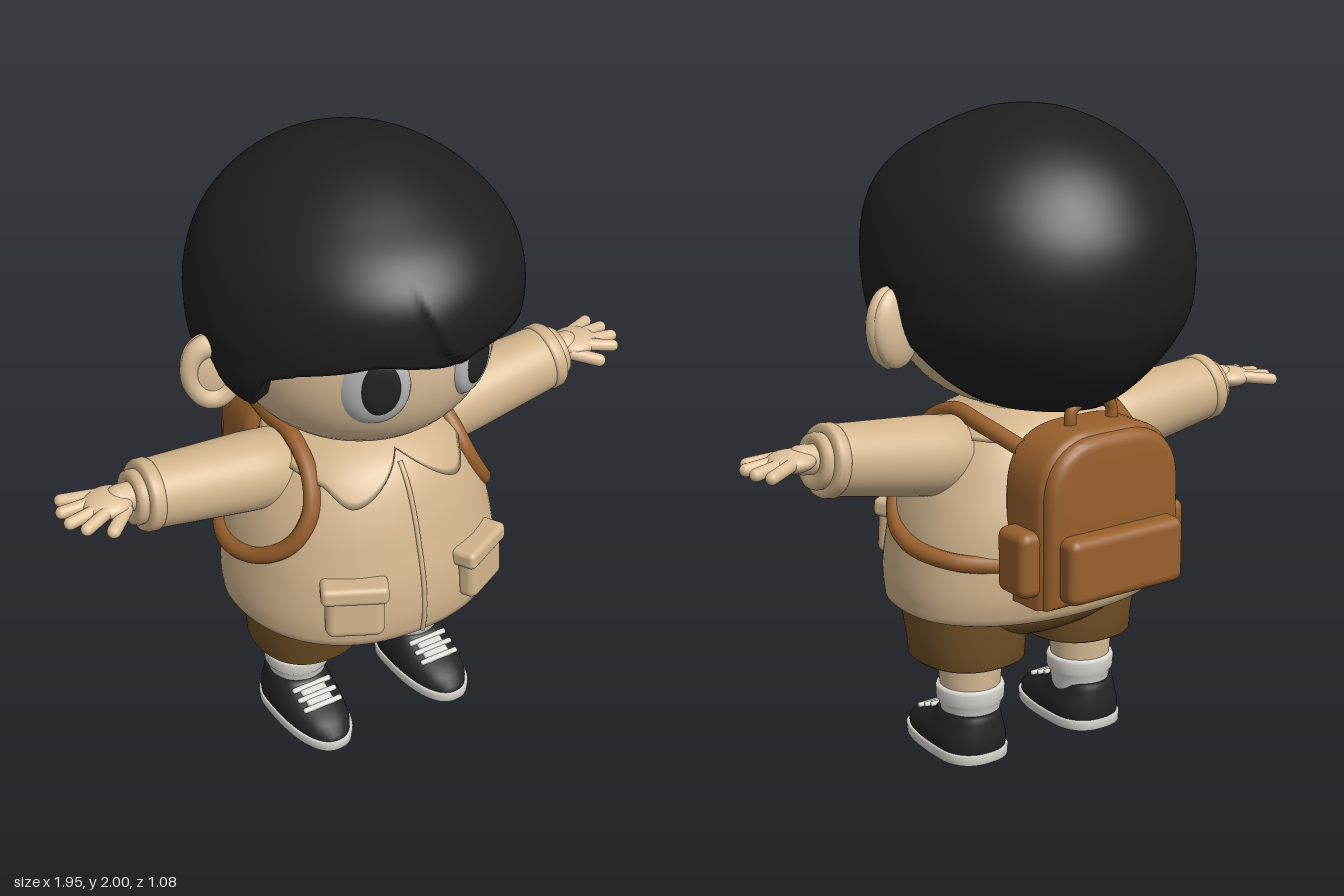
import * as THREE from 'three';
import { toCreasedNormals } from 'three/addons/utils/BufferGeometryUtils.js';
import { RoundedBoxGeometry } from 'three/addons/geometries/RoundedBoxGeometry.js';

const mat = (name, color, extra = {}) => {
  const m = new THREE.MeshStandardMaterial({ color, ...extra });
  m.name = name;
  return m;
};
const RAD = Math.PI / 180;
const V = (x, y, z) => new THREE.Vector3(x, y, z);

// Smooth interpolation in a table of [key, value, value, ...]
function lookup(T, k) {
  let i = 0;
  while (i < T.length - 2 && k > T[i + 1][0]) i++;
  const a = T[i], b = T[i + 1], h = b[0] - a[0];
  const t = Math.min(1, Math.max(0, (k - a[0]) / h));
  const slope = (j, c) => {
    const p = T[Math.max(j - 1, 0)], q = T[Math.min(j + 1, T.length - 1)];
    return (q[c] - p[c]) / (q[0] - p[0]) * h;
  };
  return a.slice(1).map((v, n) => {
    const c = n + 1, d = b[c] - v, m0 = slope(i, c), m1 = slope(i + 1, c);
    return v + t * m0 + t * t * (3 * d - 2 * m0 - m1) + t * t * t * (m0 + m1 - 2 * d);
  });
}

// Point on a ring with separate front and back depths
function ringPoint(a, y, [rx, zf, zb], n = 2) {
  const p = c => Math.sign(c) * Math.abs(c) ** (2 / n);
  const s = Math.sin(a), c = Math.cos(a);
  return [rx * p(s), y, (c > 0 ? zf : zb) * p(c)];
}

// Closed-around surface from rings going upwards; fn(angle, row) gives a point
function rings(rows, seg, fn) {
  const pos = [], idx = [];
  for (let j = 0; j < rows; j++) {
    for (let i = 0; i < seg; i++) pos.push(...fn(-Math.PI + (i / seg) * 2 * Math.PI, j));
  }
  for (let j = 0; j < rows - 1; j++) {
    for (let i = 0; i < seg; i++) {
      const k = (i + 1) % seg, a = j * seg + i, b = j * seg + k;
      idx.push(a, b, b + seg, a, b + seg, a + seg);
    }
  }
  const g = new THREE.BufferGeometry();
  g.setAttribute('position', new THREE.Float32BufferAttribute(pos, 3));
  g.setIndex(idx);
  g.computeVertexNormals();
  return g;
}
const loft = (T, n = 2, seg = 48) => rings(T.length, seg, (a, j) => ringPoint(a, T[j][0], T[j].slice(1), n));
const turned = T => loft(T.map(([y, r]) => [y, r, r, r]));

// Jacket [y, half width, front, back]
const BODY = [[.5, .435, .41, .3], [.58, .44, .42, .32], [.7, .425, .41, .32], [.8, .405, .385, .31], [.9, .37, .355, .28],
  [1, .31, .31, .25], [1.06, .25, .26, .21], [1.1, .17, .19, .16], [1.13, .1, .1, .1]];
// Hair [sqrt(2 - y), half width, front, back]
const HAIR = [[0, 0, 0, 0], [.1, .1, .11, .11], [.2, .19, .21, .21], [.3, .28, .32, .31], [.4, .365, .44, .4], [.5, .435, .515, .47],
  [.6, .475, .53, .52], [.7, .49, .5, .53], [.8, .46, .46, .5], [.9, .3, .38, .38], [1, .05, .2, .1]];
// Hairline height by angle from the front: fringe, then sides and back
const FRINGE = [[-50, 1.52], [-35, 1.55], [-24, 1.57], [-12, 1.55], [3, 1.525], [7, 1.548], [14, 1.552], [25, 1.54], [50, 1.51]];
const SIDES = [[50, 1.515], [57, 1.49], [62, 1.46], [68, 1.36], [76, 1.335], [82, 1.36], [86, 1.44], [90, 1.44],
  [94, 1.36], [100, 1.22], [115, 1.16], [140, 1.145], [180, 1.14]];
const COLLAR = [[0, 1.085], [27, .97], [48, 1.02], [90, 1.04], [180, 1.04]];
const PARTING = [[1.5, .055], [1.53, .04], [1.62, -.04], [1.76, -.09], [1.85, -.1]];

const HEAD = { y: 1.48, z: .02, rx: .41, ry: .38, rz: .42, n: 2.3 };
const headScale = y => Math.max(0, 1 - Math.abs((y - HEAD.y) / HEAD.ry) ** HEAD.n) ** (1 / HEAD.n);
const headZ = (x, y) => HEAD.z + HEAD.rz * Math.sqrt(Math.max(0, headScale(y) ** 2 - (x / HEAD.rx) ** 2));

function hairGeometry() {
  const N = 56;
  return rings(N + 3, 240, (a, j) => {
    const deg = a / RAD;
    const h = lookup(Math.abs(deg) < 50 ? FRINGE : SIDES, Math.abs(deg) < 50 ? deg : Math.abs(deg))[0];
    const v = 1 - Math.max(0, j - 2) / N;
    const y = 2 - (2 - h) * v * v;
    const p = ringPoint(a, y, lookup(HAIR, Math.sqrt(2 - y)));
    if (j < 2) return [p[0] * (.5 + .35 * j), y + .03 - .025 * j, p[2] * (.5 + .35 * j)]; // inward lip
    if (p[2] > 0 && y < 1.85) { // overlapping lock beside the parting
      const d = p[0] - lookup(PARTING, y)[0];
      const bump = .022 * THREE.MathUtils.smoothstep(d, -.012, .012) * Math.exp(-Math.max(d, 0) / .14);
      p[2] += bump * THREE.MathUtils.smoothstep(1.85 - y, 0, .2);
    }
    return p;
  });
}

// Oval plate that follows the face
function eyePlate(cx, cy, rx, ry, lift) {
  const g = new THREE.RingGeometry(.001, 1, 48, 12), p = g.attributes.position;
  for (let i = 0; i < p.count; i++) {
    const u = p.getX(i), v = p.getY(i), x = cx + u * rx, y = cy + v * ry;
    p.setXYZ(i, x, y, headZ(x, y) + lift * (1 - Math.hypot(u, v) ** 8) - .002);
  }
  g.computeVertexNormals();
  return g;
}

function archGeometry(w, y0, y1, r, depth, bevel) {
  const s = new THREE.Shape();
  s.moveTo(-w, y0);
  s.lineTo(w, y0);
  s.lineTo(w, y1 - r);
  s.quadraticCurveTo(w, y1, w - r, y1);
  s.lineTo(r - w, y1);
  s.quadraticCurveTo(-w, y1, -w, y1 - r);
  return toCreasedNormals(new THREE.ExtrudeGeometry(s, { depth, bevelSize: bevel, bevelThickness: bevel, bevelSegments: 5, curveSegments: 12 }), .7);
}

export function createModel() {
  const root = new THREE.Group();
  const skin = mat('skin', 0xdcbf99), jacket = mat('jacket tan', 0xd2b48c), collarMat = jacket;
  const hair = mat('hair black', 0x1f1f1f), brown = mat('shorts brown', 0x705026), leather = mat('backpack leather', 0x99602c);
  const white = mat('sock white', 0xd6d5cf), rim = mat('eye grey', 0xb8b8b8), black = mat('shoe black', 0x242424);
  const add = (name, geo, m, parent = root, x = 0, y = 0, z = 0) => {
    const mesh = new THREE.Mesh(geo, m);
    mesh.name = name;
    mesh.position.set(x, y, z);
    parent.add(mesh);
    return mesh;
  };
  const tube = (name, pts, r, m, seg = 40) => add(name, new THREE.TubeGeometry(new THREE.CatmullRomCurve3(pts), seg, r, 10), m);
  const capsule = (name, p, q, r, m) => {
    const d = q.clone().sub(p);
    const c = add(name, new THREE.CapsuleGeometry(r, d.length(), 6, 14), m);
    c.position.copy(p).add(q).multiplyScalar(.5);
    c.quaternion.setFromUnitVectors(V(0, 1, 0), d.normalize());
  };
  const ball = (name, m, x, y, z, rx, ry, rz) => {
    const b = add(name, new THREE.SphereGeometry(1, 32, 20), m, root, x, y, z);
    b.scale.set(rx, ry, rz);
    return b;
  };

  // Head and hair
  const headRows = [];
  for (let i = 0; i <= 32; i++) {
    const y = HEAD.y - HEAD.ry * Math.cos(i / 32 * Math.PI), k = headScale(y);
    headRows.push([y, HEAD.rx * k, HEAD.rz * k, HEAD.rz * k]);
  }
  add('head', loft(headRows), skin, root, 0, 0, HEAD.z);
  add('hair', hairGeometry(), hair);

  // Jacket with turned-in hem, front seam and collar
  const bodyRows = [[.54, .34, .3, .2], [.505, .39, .36, .25], [.498, .42, .395, .285]];
  for (let i = 0; i <= 30; i++) {
    const y = .505 + .625 * i / 30;
    bodyRows.push([y, ...lookup(BODY, y)]);
  }
  add('jacket', loft(bodyRows, 2.2, 72), jacket);
  const seam = [];
  for (let y = .505; y < 1.09; y += .05) seam.push(V(0, y, lookup(BODY, y)[1]));
  tube('frontSeam', seam, .008, jacket);
  add('collar', rings(9, 144, (a, j) => {
    const low = lookup(COLLAR, Math.abs(a) / RAD)[0];
    const y = low + (1.115 - low) * Math.max(0, j - 1) / 7;
    return ringPoint(a, y, lookup(BODY, y).map(r => r + (j ? .02 : -.01)), 2.2);
  }), collarMat);

  // Seat of the shorts
  ball('shortsSeat', brown, 0, .49, .04, .37, .12, .27);

  for (const s of [1, -1]) {
    // Face
    add('eyeRim', eyePlate(s * .162, 1.445, .09, .13, .02), rim);
    add('eye', eyePlate(s * .162, 1.455, .06, .105, .027), black);
    const ear = new THREE.Group();
    ear.name = 'ear';
    ear.position.set(s * .475, 1.39, 0);
    ear.rotation.set(0, s * .25, s * -.12);
    root.add(ear);
    add('earBase', new THREE.SphereGeometry(1, 28, 18), skin, ear, 0, 0, -.012).scale.set(.088, .12, .04);
    add('earRim', new THREE.TorusGeometry(.066, .026, 12, 36), skin, ear, 0, 0, .008).scale.set(1, 1.36, 1.2);

    // Sleeve and cuff
    const arm = new THREE.Group();
    arm.name = 'arm';
    arm.position.set(s * .26, .975, 0);
    arm.rotation.z = s * (.13 - Math.PI / 2);
    root.add(arm);
    add('sleeve', turned([[-.03, 0], [-.02, .09], [.02, .12], [.12, .121], [.28, .113], [.42, .106], [.435, .103]]), jacket, arm);
    add('cuff', turned([[.43, .095], [.432, .106], [.44, .11], [.465, .109], [.474, .104], [.476, .08], [.46, .05]]), jacket, arm);
    add('innerCuff', turned([[.45, .08], [.49, .084], [.503, .08], [.505, .06], [.49, 0]]), jacket, arm);

    // Hand, thumb forward
    const hand = (x, y, z) => V(s * x, y, z);
    capsule('wrist', hand(.7, 1.04, 0), hand(.79, 1.05, 0), .045, skin);
    ball('palm', skin, s * .825, 1.052, 0, .075, .033, .07);
    [[-.048, -.088, .935], [-.018, -.034, .955], [.016, .024, .955], [.046, .074, .925]].forEach(([z0, z1, x]) =>
      capsule('finger', hand(.85, 1.055, z0), hand(x, 1.043, z1), .0195, skin));
    capsule('thumb', hand(.79, 1.04, .045), hand(.855, 1.025, .1), .021, skin);

    // Jacket pocket and flap
    const pocket = new THREE.Group();
    pocket.name = 'jacketPocket';
    pocket.position.set(s * .218, .66, .368);
    pocket.rotation.set(-.06, s * .47, 0, 'YXZ');
    root.add(pocket);
    add('pocketBag', new RoundedBoxGeometry(.18, .15, .07, 4, .028), jacket, pocket, 0, -.015, .01);
    add('pocketFlap', new RoundedBoxGeometry(.205, .06, .085, 4, .018), jacket, pocket, 0, .065, .01);

    // Leg of the shorts, leg and sock
    add('shortsLeg', loft([[.36, .1, .1, .1], [.325, .145, .15, .15], [.318, .16, .172, .172], [.325, .169, .182, .182],
      [.38, .172, .19, .186], [.45, .176, .22, .2], [.53, .17, .23, .2]], 2.3), brown, root, s * .208, 0, .03);
    add('leg', turned([[.2, .088], [.25, .096], [.36, .105]]), skin, root, s * .215, 0, 0);
    add('sock', turned([[.1, .085], [.15, .092], [.18, .099], [.19, .106], [.225, .108], [.235, .104], [.236, .09]]), white, root, s * .215, 0, 0);

    // Shoe
    const shoe = new THREE.Group();
    shoe.name = 'shoe';
    shoe.position.set(s * .222, 0, 0);
    root.add(shoe);
    add('sole', loft([[0, 0, 0, 0], [0, .104, .28, .112], [.004, .112, .287, .119], [.032, .114, .29, .12], [.036, .108, .283, .115], [.037, 0, 0, 0]], 2.4), white, shoe);
    add('shoeUpper', loft([[.034, .106, .28, .114], [.055, .109, .278, .117], [.08, .106, .25, .116], [.1, .101, .2, .114],
      [.13, .094, .12, .11], [.148, .09, .1, .106], [.155, .084, .09, .1], [.15, .07, .07, .08]], 2.3), black, shoe);
    const tongue = add('tongue', new RoundedBoxGeometry(.09, .02, .12, 3, .009), white, shoe, 0, .122, .128);
    tongue.rotation.x = .36;
    for (let i = 0; i < 3; i++) {
      add('lace', new RoundedBoxGeometry(.14, .016, .018, 3, .007), white, shoe, 0, .138 - i * .014, .105 + i * .036).rotation.x = .36;
    }

    // Backpack strap and side pocket
    tube('strap', [V(s * .2, 1.04, -.25), V(s * .235, 1.085, -.1), V(s * .24, 1.1, .04), V(s * .25, 1.04, .16), V(s * .28, .94, .22),
      V(s * .335, .84, .21), V(s * .395, .765, .13), V(s * .43, .725, 0), V(s * .385, .705, -.16), V(s * .24, .69, -.26)], .027, leather, 64);
    add('sidePocket', new RoundedBoxGeometry(.09, .2, .14, 4, .03), leather, root, s * .26, .73, -.33);
  }

  // Backpack
  add('backpack', archGeometry(.215, .625, 1.075, .16, .13, .035), leather, root, 0, 0, -.385);
  add('backPanel', archGeometry(.205, .63, 1.06, .15, .06, .035), leather, root, 0, 0, -.415);
  add('backPocket', new RoundedBoxGeometry(.42, .2, .12, 5, .03), leather, root, 0, .72, -.45);
  tube('handle', [V(-.075, 1.06, -.32), V(-.07, 1.15, -.32), V(0, 1.18, -.32), V(.07, 1.15, -.32), V(.075, 1.06, -.32)], .019, leather);
  return root;
}
